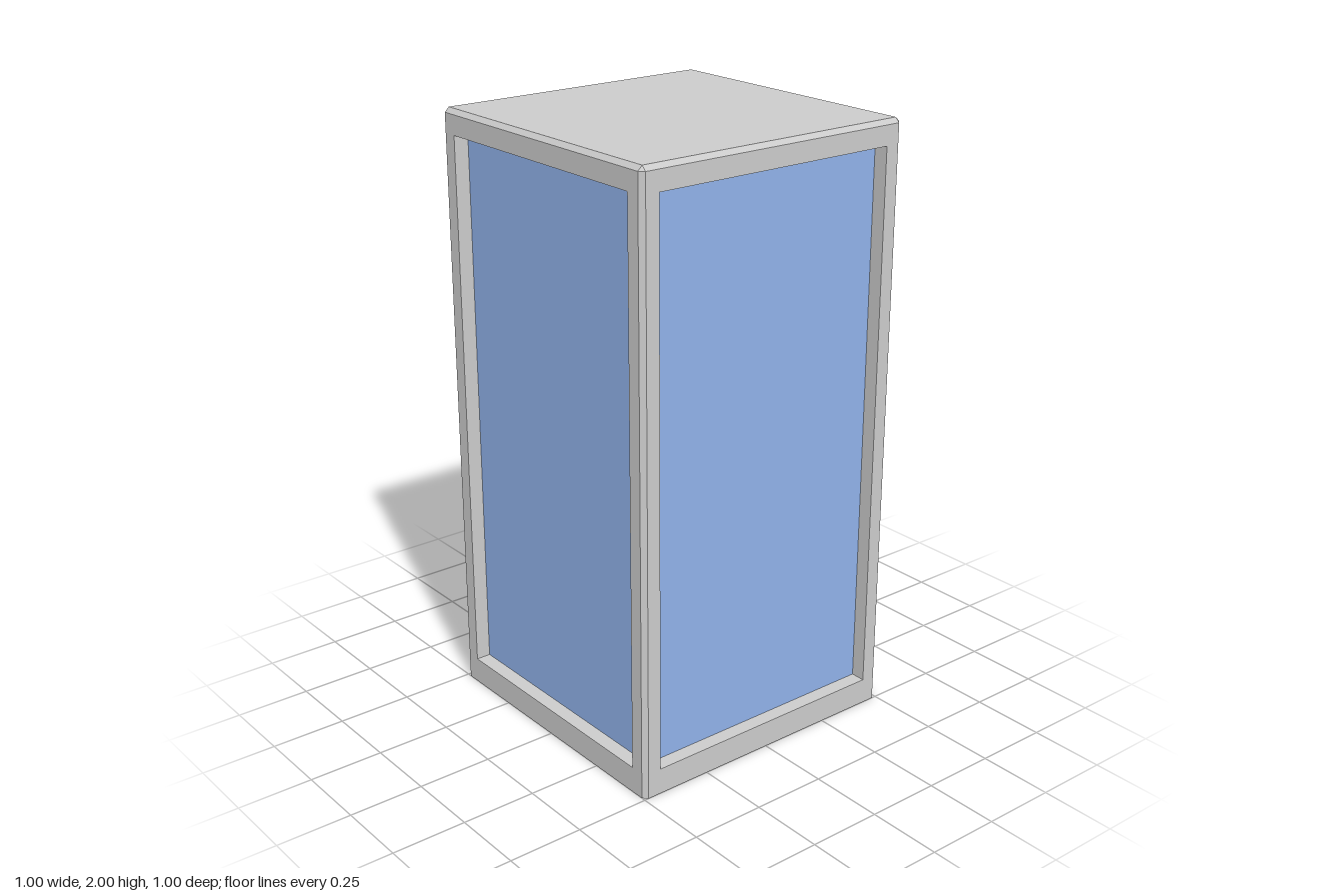
import * as THREE from 'three';

const HALF = 0.5, TOP = 2, BEVEL = 0.015, DEPTH = 0.05;
const WIN = { x: 0.4375, y0: 0.0875, y1: 1.92 };

const grey = new THREE.MeshStandardMaterial({ color: 0xcccccc, flatShading: true, side: THREE.DoubleSide });
const blue = new THREE.MeshStandardMaterial({ color: 0x90b2e9, flatShading: true, side: THREE.DoubleSide });

// Flat convex face from its corners, counter-clockwise seen from the front
function face(name, corners, material = grey) {
  const geometry = new THREE.BufferGeometry();
  geometry.setAttribute('position', new THREE.Float32BufferAttribute(corners.flat(), 3));
  geometry.setIndex(corners.length === 4 ? [0, 1, 2, 0, 2, 3] : [0, 1, 2]);
  geometry.computeVertexNormals();
  const mesh = new THREE.Mesh(geometry, material);
  mesh.name = name;
  return mesh;
}

// Closed outline of a rectangle
function rectangle(Type, x, y0, y1) {
  return new Type([[-x, y0], [x, y0], [x, y1], [-x, y1]].map(p => new THREE.Vector2(...p)));
}

// One wall facing +z, with its bevels on the top edge and one corner
function createWall() {
  const wall = new THREE.Group();
  const e = HALF - BEVEL, shoulder = TOP - BEVEL, back = HALF - DEPTH;
  const { x, y0, y1 } = WIN;

  // Frame around the window opening
  const outline = rectangle(THREE.Shape, e, 0, shoulder);
  outline.holes.push(rectangle(THREE.Path, x, y0, y1));
  const frame = new THREE.Mesh(new THREE.ShapeGeometry(outline), grey);
  frame.name = 'windowFrame';
  frame.position.z = HALF;
  wall.add(frame);

  // Recess sides running back to the pane
  const rim = [[-x, y0], [x, y0], [x, y1], [-x, y1]];
  rim.forEach((a, i) => {
    const b = rim[(i + 1) % 4];
    wall.add(face('windowReveal', [[...a, HALF], [...b, HALF], [...b, back], [...a, back]]));
  });

  // Recessed pane
  wall.add(face('windowPane', rim.map(p => [...p, back]), blue));

  // Bevels: top edge, upright corner and the small corner tip
  wall.add(
    face('topBevel', [[-e, shoulder, HALF], [e, shoulder, HALF], [e, TOP, e], [-e, TOP, e]]),
    face('cornerBevel', [[e, 0, HALF], [HALF, 0, e], [HALF, shoulder, e], [e, shoulder, HALF]]),
    face('cornerTip', [[e, shoulder, HALF], [HALF, shoulder, e], [e, TOP, e]])
  );
  return wall;
}

export function createModel() {
  const model = new THREE.Group();
  model.name = 'glazedTowerBlock';

  // Four equal walls; the underside stays open
  ['frontWall', 'leftWall', 'backWall', 'rightWall'].forEach((name, i) => {
    const wall = createWall();
    wall.name = name;
    wall.rotation.y = i * Math.PI / 2;
    model.add(wall);
  });

  // Flat roof
  const e = HALF - BEVEL;
  model.add(face('roof', [[-e, TOP, e], [e, TOP, e], [e, TOP, -e], [-e, TOP, -e]]));
  return model;
}
